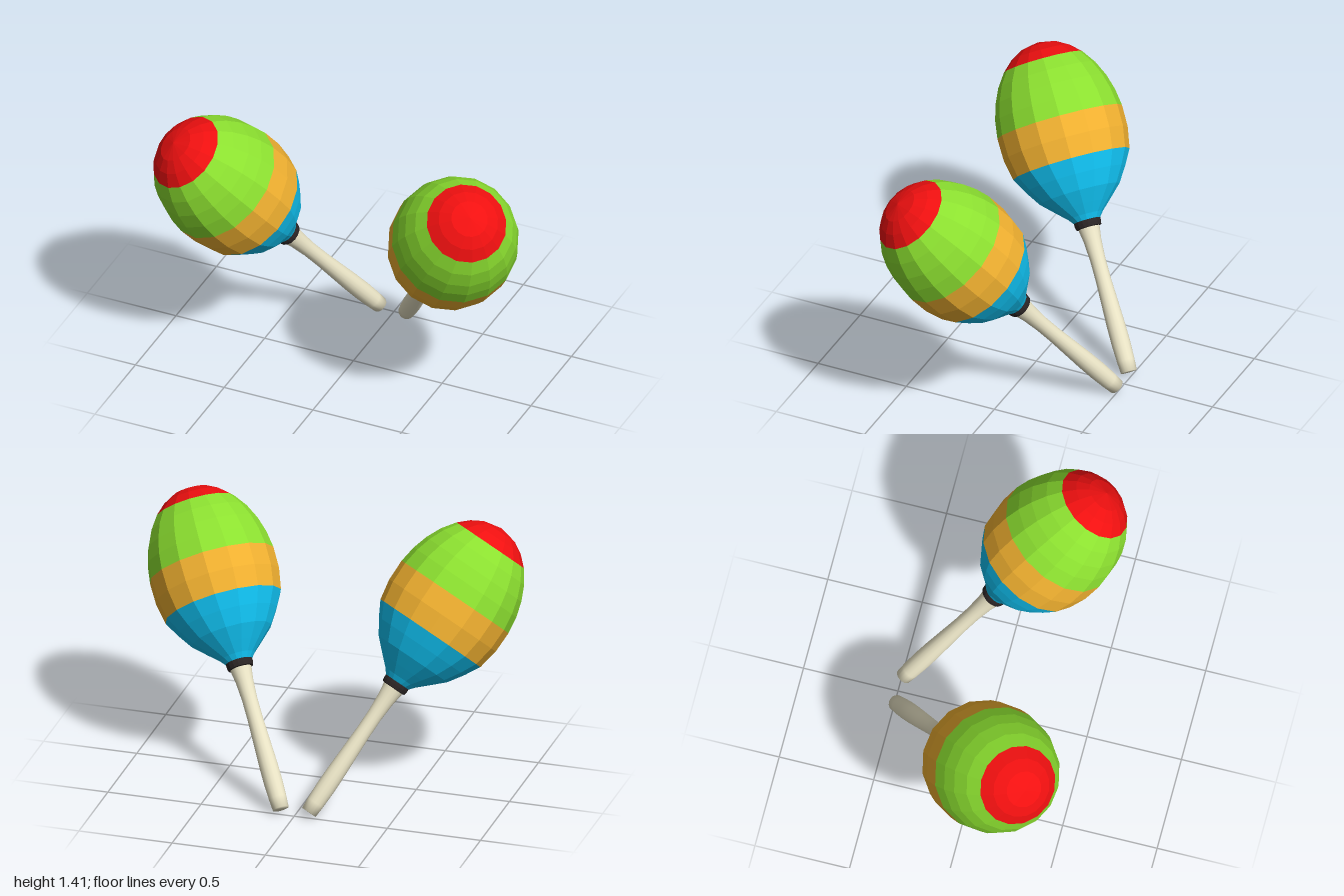
import * as THREE from 'three';

const SIDES = 16;
const TILT = Math.PI / 6;

// Bulb ellipsoid along the maraca axis
const MID = 1.285, HALF = 0.475, RADIUS = 0.333;
const bulb = (s) => [RADIUS * Math.sqrt(Math.max(0, 1 - ((s - MID) / HALF) ** 2)), s];

// Each part is a turned band: name, color, [radius, distance along axis]
const PARTS = [
  ['handle', 0xe8e2c4, [[0, 0], [0.042, 0], [0.046, 0.06], [0.049, 0.15], [0.048, 0.25], [0.044, 0.37],
    [0.04, 0.49], [0.04, 0.6], [0.046, 0.7], [0.056, 0.77]]],
  ['collar', 0x2a2424, [[0.05, 0.768], [0.066, 0.772], [0.07, 0.79], [0.07, 0.81]]],
  ['lowerBulb', 0x10c0f0, [[0.068, 0.805], [0.092, 0.835], [0.145, 0.885], [0.212, 0.95], [0.265, 1.03], bulb(1.11)]],
  ['middleBand', 0xf0b030, [1.11, 1.22, 1.335].map(bulb)],
  ['upperBulb', 0x8ce030, [1.335, 1.425, 1.505, 1.585, 1.655].map(bulb)],
  ['topCap', 0xf01010, [1.655, 1.705, 1.74, 1.76].map(bulb)],
];

function createMaraca(side) {
  const maraca = new THREE.Group();
  maraca.name = side > 0 ? 'leftMaraca' : 'rightMaraca';
  for (const [name, color, profile] of PARTS) {
    const points = profile.map(([r, y]) => new THREE.Vector2(r, y));
    const material = new THREE.MeshStandardMaterial({ color, flatShading: name !== 'handle' });
    const mesh = new THREE.Mesh(new THREE.LatheGeometry(points, SIDES), material);
    mesh.name = name;
    maraca.add(mesh);
  }
  // Lean forward, then outward
  maraca.rotation.set(TILT, 0, -side * TILT, 'ZYX');
  maraca.position.set(side * 0.075, 0.03, -0.49);
  return maraca;
}

export function createModel() {
  const model = new THREE.Group();
  model.name = 'maracas';
  for (const side of [1, -1]) model.add(createMaraca(side));
  return model;
}
